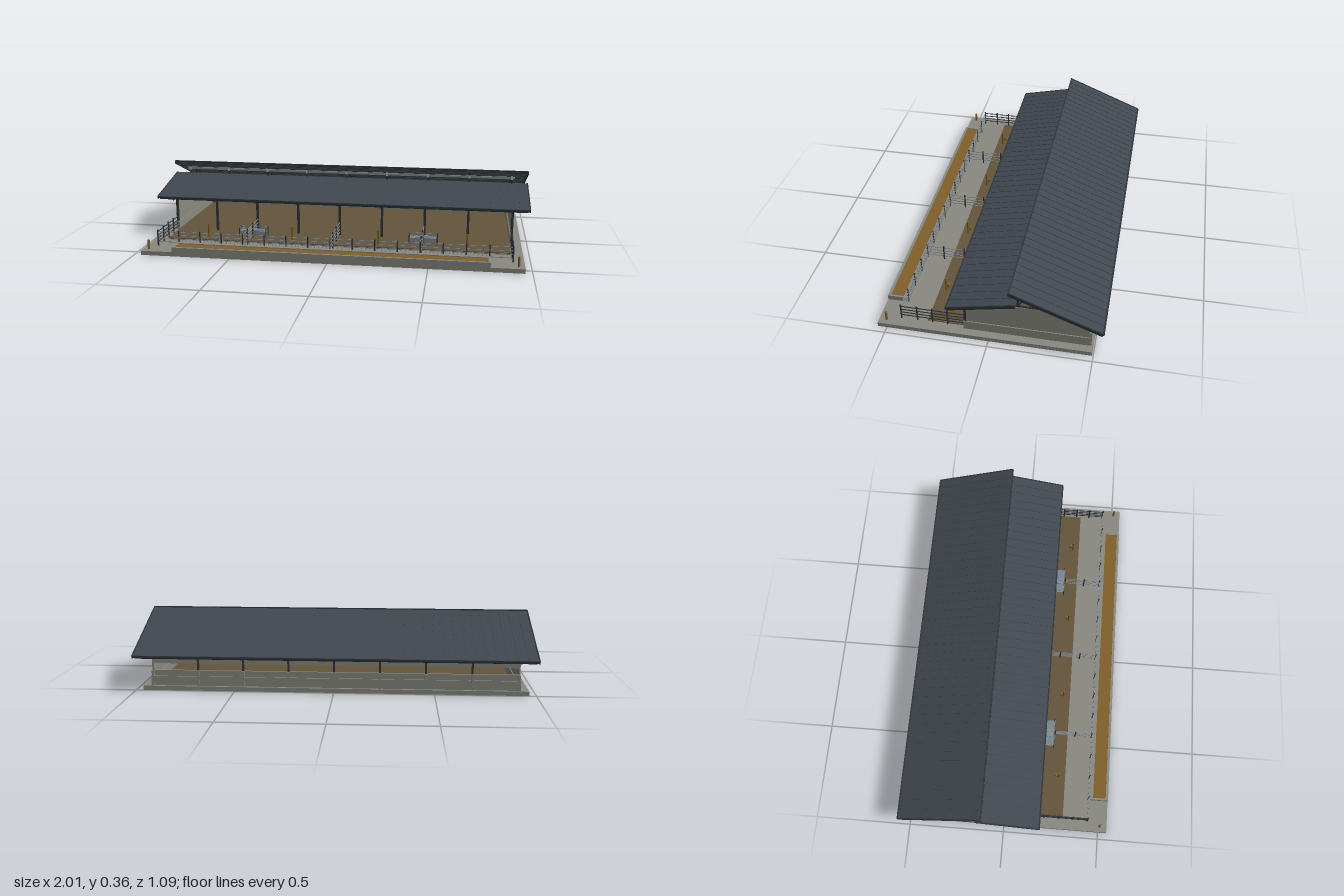
import * as THREE from 'three';

const mat = (name, color) => Object.assign(new THREE.MeshStandardMaterial({ color }), { name });

export function createModel() {
  const concrete = mat('concrete', 0x8a8a81);
  const roofing = mat('roofing', 0x414850);
  const steel = mat('darkSteel', 0x30353a);
  const galvanised = mat('galvanisedSteel', 0x858c92);
  const bedding = mat('bedding', 0x64543c);
  const feed = mat('feed', 0x80602a);
  const pale = mat('paleGrey', 0xb4b8ba);
  const water = mat('water', 0x6f8799);
  const barn = new THREE.Group();
  barn.name = 'barn';

  const group = (name) => {
    const g = new THREE.Group();
    g.name = name;
    barn.add(g);
    return g;
  };
  // Box given by its extents on each axis
  const box = (parent, name, x0, x1, y0, y1, z0, z1, m) => {
    const mesh = new THREE.Mesh(new THREE.BoxGeometry(x1 - x0, y1 - y0, z1 - z0), m);
    mesh.position.set((x0 + x1) / 2, (y0 + y1) / 2, (z0 + z1) / 2);
    mesh.name = name;
    parent.add(mesh);
    return mesh;
  };
  // Square bar between two points
  const bar = (parent, name, a, b, t, m) => {
    const p = new THREE.Vector3(...a), q = new THREE.Vector3(...b);
    const mesh = new THREE.Mesh(new THREE.BoxGeometry(t, t, p.distanceTo(q)), m);
    mesh.position.copy(p).lerp(q, 0.5);
    mesh.lookAt(q);
    mesh.name = name;
    parent.add(mesh);
  };
  const post = (parent, name, x, z, y0, y1, r, m) => {
    const mesh = new THREE.Mesh(new THREE.CylinderGeometry(r, r, y1 - y0, 10), m);
    mesh.position.set(x, (y0 + y1) / 2, z);
    mesh.name = name;
    parent.add(mesh);
  };

  const floorY = 0.022, wallX = 0.915, bay = wallX / 4;
  const frames = Array.from({ length: 9 }, (_, i) => (i - 4) * bay);

  // Ground slab and bedded floor
  box(barn, 'slab', -0.965, 0.965, 0, floorY, -0.495, 0.545, concrete);
  box(barn, 'beddingFloor', -0.905, 0.905, floorY, 0.026, -0.468, 0.31, bedding);

  // Walls: closed ends, rear with a ventilation gap
  const walls = group('walls');
  for (const s of [-1, 1]) {
    const x = s * wallX;
    box(walls, 'endWall', x - 0.005, x + 0.005, floorY, 0.203, -0.475, 0.12, concrete);
    box(walls, 'endPlinth', x - 0.01, x + 0.01, floorY, 0.07, -0.482, 0.128, concrete);
  }
  box(walls, 'rearWall', -wallX, wallX, floorY, 0.1, -0.475, -0.465, concrete);
  box(walls, 'rearPlinth', -wallX, wallX, floorY, 0.07, -0.482, -0.46, concrete);
  box(walls, 'rearCurtain', -wallX, wallX, 0.135, 0.197, -0.474, -0.469, concrete);
  for (const x of frames) {
    box(walls, 'rearPilaster', x - 0.006, x + 0.006, floorY, 0.1, -0.486, -0.46, concrete);
    box(walls, 'rearColumn', x - 0.005, x + 0.005, 0.1, 0.205, -0.475, -0.465, steel);
  }

  // Two roof slopes: sheet, standing seams and purlins
  const frontY = (z) => 0.29 - 0.216 * (z + 0.137);
  const rearY = (z) => 0.36 + 0.402 * (z + 0.108);
  const roofs = [['frontRoof', 0.187, -0.137, frontY], ['rearRoof', -0.108, -0.543, rearY]];
  for (const [name, z0, z1, f] of roofs) {
    const roof = group(name);
    const half = (z0 - z1) / 2;
    const slope = new THREE.Group();
    slope.name = name + 'Slope';
    slope.position.set(0, f((z0 + z1) / 2), (z0 + z1) / 2);
    slope.rotation.x = Math.atan2(f(z1) - f(z0), z0 - z1);
    roof.add(slope);
    const len = half / Math.cos(slope.rotation.x);
    box(slope, 'sheet', -1, 1, -0.007, 0, -len, len, roofing);
    for (let i = 0; i <= 40; i++) {
      const x = -0.998 + i * 0.0499;
      box(slope, 'seam', x - 0.0015, x + 0.0015, 0, 0.0025, -len, len, roofing);
    }
    const n = Math.round(len / 0.03);
    for (let i = 0; i <= n; i++) {
      const z = -len + 0.005 + (i / n) * (2 * len - 0.01);
      box(slope, 'purlin', -0.99, 0.99, -0.016, -0.007, z - 0.003, z + 0.003, steel);
    }
    for (const s of [-1, 1]) box(slope, 'edgeTrim', s - 0.003, s + 0.003, -0.014, 0.003, -len, len, steel);
  }
  box(barn, 'ridgeTrim', -1, 1, 0.349, 0.364, -0.112, -0.106, steel);
  box(barn, 'frontGutter', -1, 1, 0.211, 0.221, 0.18, 0.19, steel);
  box(barn, 'rearGutter', -1, 1, 0.177, 0.187, -0.547, -0.537, steel);

  // Trusses and front columns
  const trusses = group('trusses');
  for (const x of frames) {
    const link = (z0, y0, z1, y1, t = 0.006) => bar(trusses, 'trussMember', [x, y0, z0], [x, y1, z1], t, steel);
    const low = (z) => (z > -0.135 ? 0.205 : 0.21 + (z + 0.135) * 0.03);
    const fy = (z) => frontY(z) - 0.018, ry = (z) => rearY(z) - 0.018;
    link(0.18, fy(0.18), -0.135, fy(-0.135), 0.008);
    link(-0.11, ry(-0.11), -0.53, ry(-0.53), 0.008);
    link(0.12, 0.205, -0.135, 0.208, 0.007);
    link(-0.135, 0.208, -0.475, 0.2, 0.007);
    link(0.18, fy(0.18), 0.12, 0.205);
    link(-0.475, 0.198, -0.53, ry(-0.53));
    link(-0.135, 0.205, -0.135, 0.345, 0.01);
    const web = (nodes, f) => nodes.forEach((z, i) => {
      if (i === nodes.length - 1) return;
      const mid = (z + nodes[i + 1]) / 2;
      link(z, low(z), mid, f(mid), 0.005);
      link(mid, f(mid), nodes[i + 1], low(nodes[i + 1]), 0.005);
      link(mid, f(mid), mid, low(mid), 0.004);
    });
    web([0.12, -0.01, -0.135], fy);
    web([-0.135, -0.275, -0.39, -0.47], ry);
    link(-0.275, low(-0.275), -0.275, ry(-0.275), 0.004);
    box(trusses, 'frontColumn', x - 0.006, x + 0.006, floorY, 0.22, 0.114, 0.126, steel);
  }
  box(trusses, 'frontEaveBeam', -wallX, wallX, 0.205, 0.215, 0.115, 0.125, steel);

  // Rolled curtain and fixings in the ridge opening
  box(barn, 'ridgeCurtain', -0.93, 0.93, 0.313, 0.325, -0.131, -0.122, galvanised);
  for (const x of frames) box(barn, 'curtainBracket', x - 0.005, x + 0.005, 0.31, 0.328, -0.124, -0.118, pale);

  // Ventilation fans
  const fans = group('fans');
  for (let i = -3; i <= 3; i++) {
    const fan = new THREE.Group();
    fan.name = 'fan';
    fan.position.set(i * 0.251, 0.187, -0.085);
    fans.add(fan);
    const disc = (name, r, d, m, z) => {
      const mesh = new THREE.Mesh(new THREE.CylinderGeometry(r, r, d, 24), m);
      mesh.rotation.x = Math.PI / 2;
      mesh.position.z = z;
      mesh.name = name;
      fan.add(mesh);
    };
    disc('fanCasing', 0.026, 0.016, galvanised, 0);
    disc('fanFace', 0.023, 0.002, pale, 0.009);
    disc('fanHub', 0.006, 0.006, steel, 0.01);
    bar(fan, 'fanHanger', [0, 0.024, 0], [0, 0.075, 0], 0.004, steel);
  }

  // Feed trough along the front edge
  const trough = group('feedTrough');
  box(trough, 'rearCurb', -0.8, 0.8, floorY, 0.047, 0.44, 0.465, concrete);
  box(trough, 'frontCurb', -0.8, 0.8, floorY, 0.047, 0.532, 0.545, concrete);
  for (const s of [-1, 1]) box(trough, 'endCurb', s * 0.795 - 0.005, s * 0.795 + 0.005, floorY, 0.047, 0.465, 0.532, concrete);
  box(trough, 'feedBed', -0.79, 0.79, floorY, 0.042, 0.465, 0.532, feed);

  // Yard fences
  const fences = group('fences');
  const rails = [0.043, 0.06, 0.078, 0.097];
  for (const s of [-1, 1]) {
    for (const z of [0.21, 0.285, 0.36, 0.44]) post(fences, 'sidePost', s * 0.91, z, floorY, 0.107, 0.004, steel);
    for (const y of rails) bar(fences, 'sideRail', [s * 0.91, y, 0.12], [s * 0.91, y, 0.44], 0.0035, steel);
  }
  for (const y of rails) bar(fences, 'feedRail', [-0.91, y, 0.44], [0.91, y, 0.44], 0.0035, galvanised);
  for (let i = 0; i <= 16; i++) post(fences, 'feedPost', -0.91 + i * 0.11375, 0.44, floorY, 0.105, 0.0035, steel);
  for (let i = 0; i <= 80; i++) {
    const x = -0.8 + i * 0.02;
    bar(fences, 'feedStanchion', [x, 0.047, 0.44], [x + (i % 2 ? 0.004 : -0.004), 0.097, 0.44], 0.002, galvanised);
  }
  // Pen dividers
  for (const x of [-0.455, 0, 0.455]) {
    for (const y of rails) bar(fences, 'dividerRail', [x, y, 0.12], [x, y, 0.44], 0.003, galvanised);
    for (const z of [0.24, 0.35]) post(fences, 'dividerPost', x, z, floorY, 0.107, 0.004, steel);
  }

  // Water troughs straddling the dividers
  for (const x of [-0.457, 0.457]) {
    const g = group('waterTrough');
    box(g, 'troughBody', x - 0.07, x + 0.07, floorY, 0.06, 0.19, 0.232, concrete);
    box(g, 'waterSurface', x - 0.063, x + 0.063, 0.06, 0.062, 0.196, 0.226, water);
    box(g, 'troughCover', x - 0.02, x + 0.02, 0.06, 0.066, 0.19, 0.232, galvanised);
    for (const s of [-1, 1]) {
      bar(g, 'guardRail', [x - 0.075, 0.075, 0.211 + s * 0.024], [x + 0.075, 0.075, 0.211 + s * 0.024], 0.003, galvanised);
      for (const e of [-1, 1]) post(g, 'guardPost', x + e * 0.073, 0.211 + s * 0.024, floorY, 0.077, 0.0025, steel);
    }
  }

  // Scratching brushes on posts
  for (const i of [-3, -1, 1, 3]) {
    const g = group('brushPost');
    post(g, 'post', i * bay, 0.275, floorY, 0.105, 0.006, feed);
    post(g, 'brush', i * bay, 0.262, 0.052, 0.072, 0.008, feed);
  }

  // Corner bollards
  for (const s of [-1, 1]) post(barn, 'bollard', s * 0.935, 0.508, floorY, 0.072, 0.006, feed);

  return barn;
}
